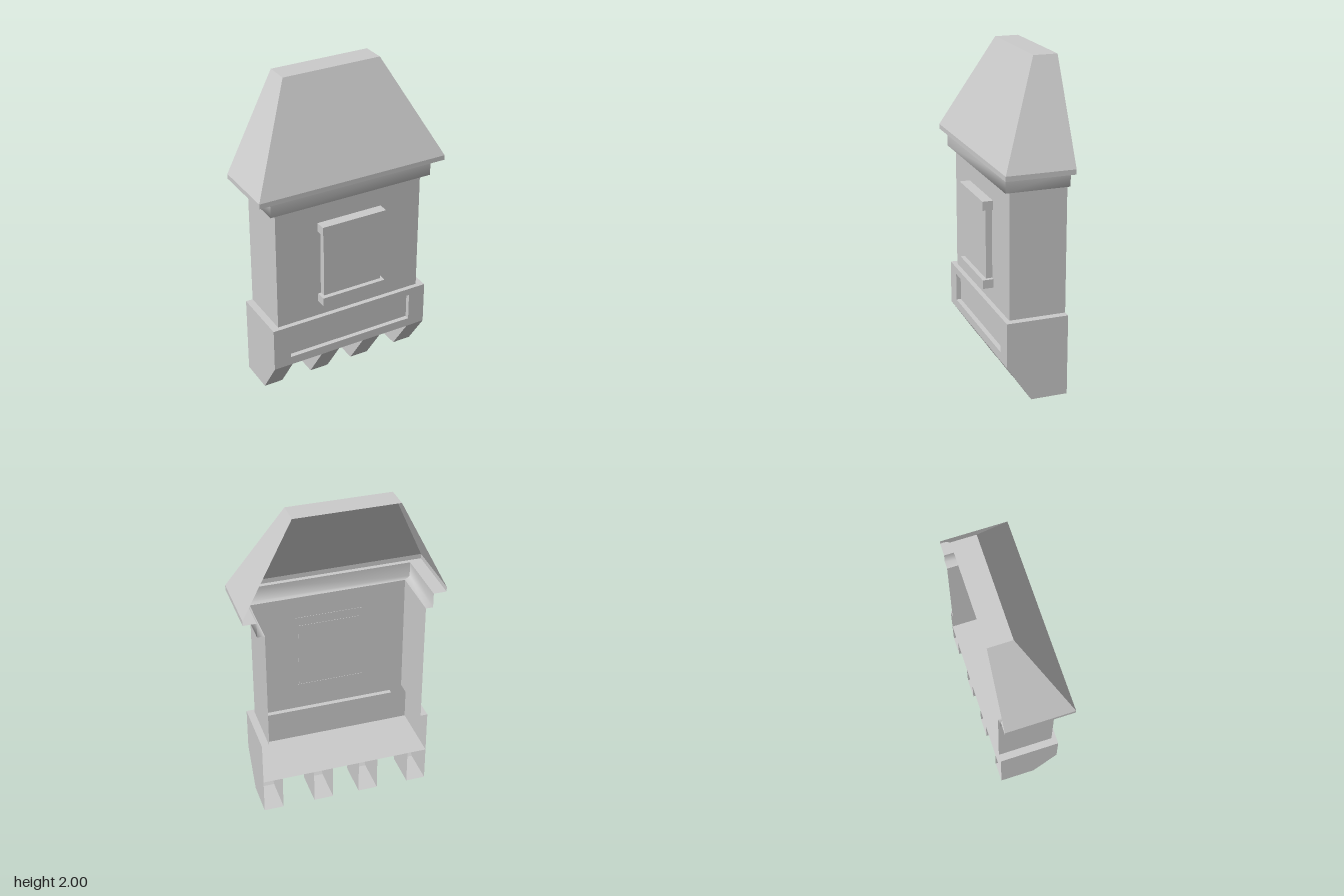
import * as THREE from 'three';

const BACK = -0.208;
const material = new THREE.MeshStandardMaterial({ color: 0xcccccc, side: THREE.DoubleSide });

function addMesh(parent, name, geometry) {
  const mesh = new THREE.Mesh(geometry, material);
  mesh.name = name;
  parent.add(mesh);
  return mesh;
}

// Flat-shaded surface from four-cornered faces (corners counter-clockwise)
function quadGeometry(quads) {
  const points = quads.flatMap(([a, b, c, d]) => [a, b, c, a, c, d]);
  const geometry = new THREE.BufferGeometry();
  geometry.setAttribute('position', new THREE.Float32BufferAttribute(points.flat(), 3));
  geometry.computeVertexNormals();
  return geometry;
}

// Three-sided shell, open at the back, through rows of [half width, front z, y]
function shellGeometry(rows, { sides = [0, 1, 2], smooth = false } = {}) {
  const positions = [], index = [];
  for (const side of sides) {
    const start = positions.length / 3;
    rows.forEach(([w, z, y], r) => {
      const ring = [[-w, y, BACK], [-w, y, z], [w, y, z], [w, y, BACK]];
      positions.push(...ring[side], ...ring[side + 1]);
      if (r === 0) return;
      const a = start + 2 * (r - 1);
      index.push(a, a + 1, a + 3, a, a + 3, a + 2);
    });
  }
  let geometry = new THREE.BufferGeometry();
  geometry.setAttribute('position', new THREE.Float32BufferAttribute(positions, 3));
  geometry.setIndex(index);
  if (!smooth) geometry = geometry.toNonIndexed();
  geometry.computeVertexNormals();
  return geometry;
}

// Horizontal rectangle from the back plane to front z
function slab(w, z, y, up) {
  const q = [[-w, y, BACK], [w, y, BACK], [w, y, z], [-w, y, z]];
  return up ? q.reverse() : q;
}

function createBase() {
  const base = new THREE.Group();
  base.name = 'base';
  const w = 0.532, z = 0.17, y0 = 0.225, y1 = 0.503;
  addMesh(base, 'baseSides', shellGeometry([[w, z, y0], [w, z, y1]], { sides: [0, 2] }));
  addMesh(base, 'baseLedge', shellGeometry([[w, z, y1], [0.487, 0.14, y1]]));
  addMesh(base, 'baseFloor', quadGeometry([slab(w, z, y0, false)]));

  // Front with a sunken panel
  const corners = [[-0.42, 0.28], [0.42, 0.28], [0.42, 0.457], [-0.42, 0.457]];
  const shape = new THREE.Shape([[-w, y0], [w, y0], [w, y1], [-w, y1]].map(p => new THREE.Vector2(...p)));
  shape.holes.push(new THREE.Path(corners.map(p => new THREE.Vector2(...p)).reverse()));
  addMesh(base, 'baseFront', new THREE.ShapeGeometry(shape)).position.z = z;
  const deep = 0.14;
  const recess = corners.map((a, i) => {
    const b = corners[(i + 1) % 4];
    return [[...a, z], [...b, z], [...b, deep], [...a, deep]];
  });
  recess.push(corners.map(p => [...p, deep]));
  addMesh(base, 'sunkenPanel', quadGeometry(recess));
  return base;
}

// Hollow bracket with a sloping front, open at the back
function bracketGeometry(x0, x1) {
  const profile = [[0.225, 0.17], [0, 0.018], [0, BACK], [0.225, BACK]];
  const left = profile.map(p => [x0, ...p]);
  const right = profile.map(p => [x1, ...p]);
  return quadGeometry([
    right,
    [...left].reverse(),
    [left[1], right[1], right[0], left[0]],
    [left[2], right[2], right[1], left[1]],
  ]);
}

function createWindow() {
  const group = new THREE.Group();
  group.name = 'window';
  const back = 0.138;
  const parts = [
    ['windowPanel', 0.39, 0.66, 1.087, 0.18],
    ['windowSill', 0.427, 0.603, 0.657, 0.205],
    ['windowLintel', 0.427, 1.09, 1.145, 0.205],
  ];
  for (const [name, width, y0, y1, front] of parts) {
    const mesh = addMesh(group, name, new THREE.BoxGeometry(width, y1 - y0, front - back));
    mesh.position.set(0, (y0 + y1) / 2, (front + back) / 2);
  }
  return group;
}

export function createModel() {
  const model = new THREE.Group();
  model.name = 'bayWindow';

  // Brackets below the base
  const brackets = new THREE.Group();
  brackets.name = 'brackets';
  for (const [a, b] of [[0.085, 0.208], [0.41, 0.532]]) {
    addMesh(brackets, 'leftBracket', bracketGeometry(a, b));
    addMesh(brackets, 'rightBracket', bracketGeometry(-b, -a));
  }
  model.add(brackets, createBase(), createWindow());

  // Walls and softly shaded cornice
  addMesh(model, 'walls', shellGeometry([[0.487, 0.14, 0.503], [0.487, 0.14, 1.287]]));
  addMesh(model, 'cornice', shellGeometry(
    [[0.487, 0.14, 1.287], [0.532, 0.18, 1.287], [0.532, 0.18, 1.38]], { smooth: true }));

  // Hipped roof with eaves and a flat top
  const roof = new THREE.Group();
  roof.name = 'roof';
  addMesh(roof, 'roofSlopes', shellGeometry(
    [[0.532, 0.18, 1.38], [0.612, 0.208, 1.38], [0.612, 0.208, 1.41], [0.314, -0.062, 2]]));
  addMesh(roof, 'roofTop', quadGeometry([slab(0.314, -0.062, 2, true)]));
  model.add(roof);
  return model;
}
